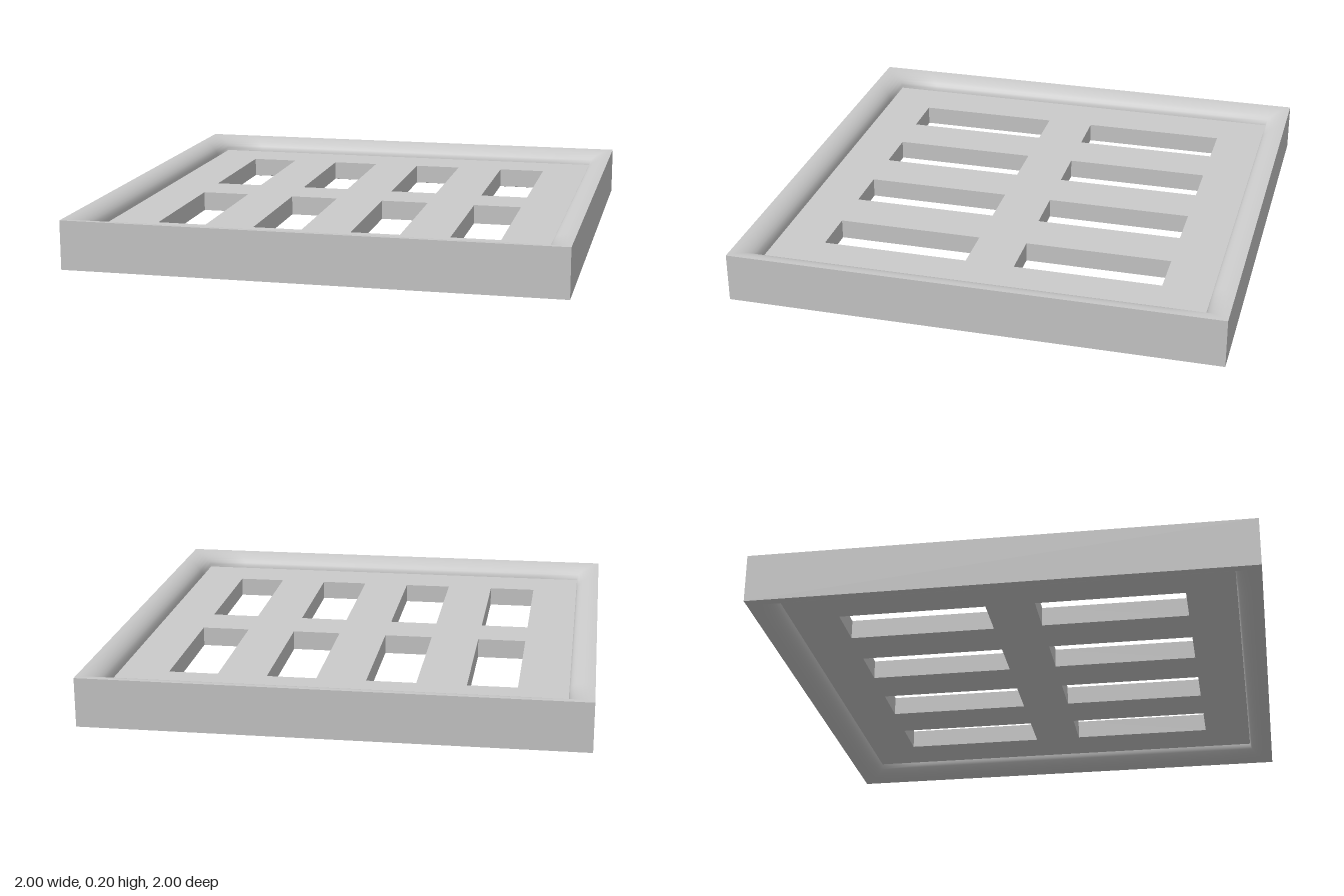
import * as THREE from 'three';

const HEIGHT = 0.2, INNER = 0.9, PLATE_BOTTOM = 0.06, PLATE_TOP = 0.14;

// Sweeps a profile of [half width, y] points around a square, n segments per side.
function squareSweep(profile, n) {
  const corners = [[1, 1], [1, -1], [-1, -1], [-1, 1]];
  const count = 4 * n, pos = [], index = [];
  for (const [r, y] of profile) {
    for (let k = 0; k < count; k++) {
      const side = Math.floor(k / n), t = (k % n) / n;
      const a = corners[side], b = corners[(side + 1) % 4];
      pos.push(r * (a[0] + (b[0] - a[0]) * t), y, r * (a[1] + (b[1] - a[1]) * t));
    }
  }
  for (let j = 0; j < profile.length - 1; j++) {
    for (let k = 0; k < count; k++) {
      const k2 = (k + 1) % count;
      const a = j * count + k, b = j * count + k2;
      const c = b + count, d = a + count;
      index.push(a, b, c, a, c, d);
    }
  }
  const geo = new THREE.BufferGeometry();
  geo.setAttribute('position', new THREE.Float32BufferAttribute(pos, 3));
  geo.setIndex(index);
  geo.computeVertexNormals();
  return geo;
}

export function createModel() {
  const group = new THREE.Group();
  const material = new THREE.MeshStandardMaterial({ color: 0xcccccc });
  const add = (name, geo) => {
    const mesh = new THREE.Mesh(geo, material);
    mesh.name = name;
    group.add(mesh);
  };

  // Rounded lips: a quarter ellipse from the outer edge down to the plate
  const drop = HEIGHT - PLATE_TOP, steps = 8;
  const topLip = [], bottomLip = [];
  for (let i = 0; i <= steps; i++) {
    const a = (i / steps) * Math.PI / 2;
    const r = 1 - (1 - INNER) * Math.sin(a);
    const d = drop * (1 - Math.cos(a));
    topLip.push([r, HEIGHT - d]);
    bottomLip.unshift([r, d]);
  }
  add('topRim', squareSweep(topLip, 10));
  add('bottomRim', squareSweep(bottomLip, 10));

  // Flat outer walls
  const walls = squareSweep([[1, 0], [1, HEIGHT]], 1).toNonIndexed();
  walls.computeVertexNormals();
  add('outerWalls', walls);

  // Grille plate with two rows of four slots
  const rect = (Type, x0, y0, x1, y1) => new Type([
    new THREE.Vector2(x0, y0), new THREE.Vector2(x1, y0),
    new THREE.Vector2(x1, y1), new THREE.Vector2(x0, y1),
  ]);
  const shape = rect(THREE.Shape, -INNER, -INNER, INNER, INNER);
  for (const x of [-0.6, -0.2, 0.2, 0.6]) {
    for (const z of [-0.4, 0.4]) {
      shape.holes.push(rect(THREE.Path, x - 0.1, z - 0.3, x + 0.1, z + 0.3));
    }
  }
  const plate = new THREE.ExtrudeGeometry(shape, { depth: PLATE_TOP - PLATE_BOTTOM, bevelEnabled: false });
  plate.rotateX(-Math.PI / 2).translate(0, PLATE_BOTTOM, 0);
  add('grillePlate', plate);

  return group;
}
